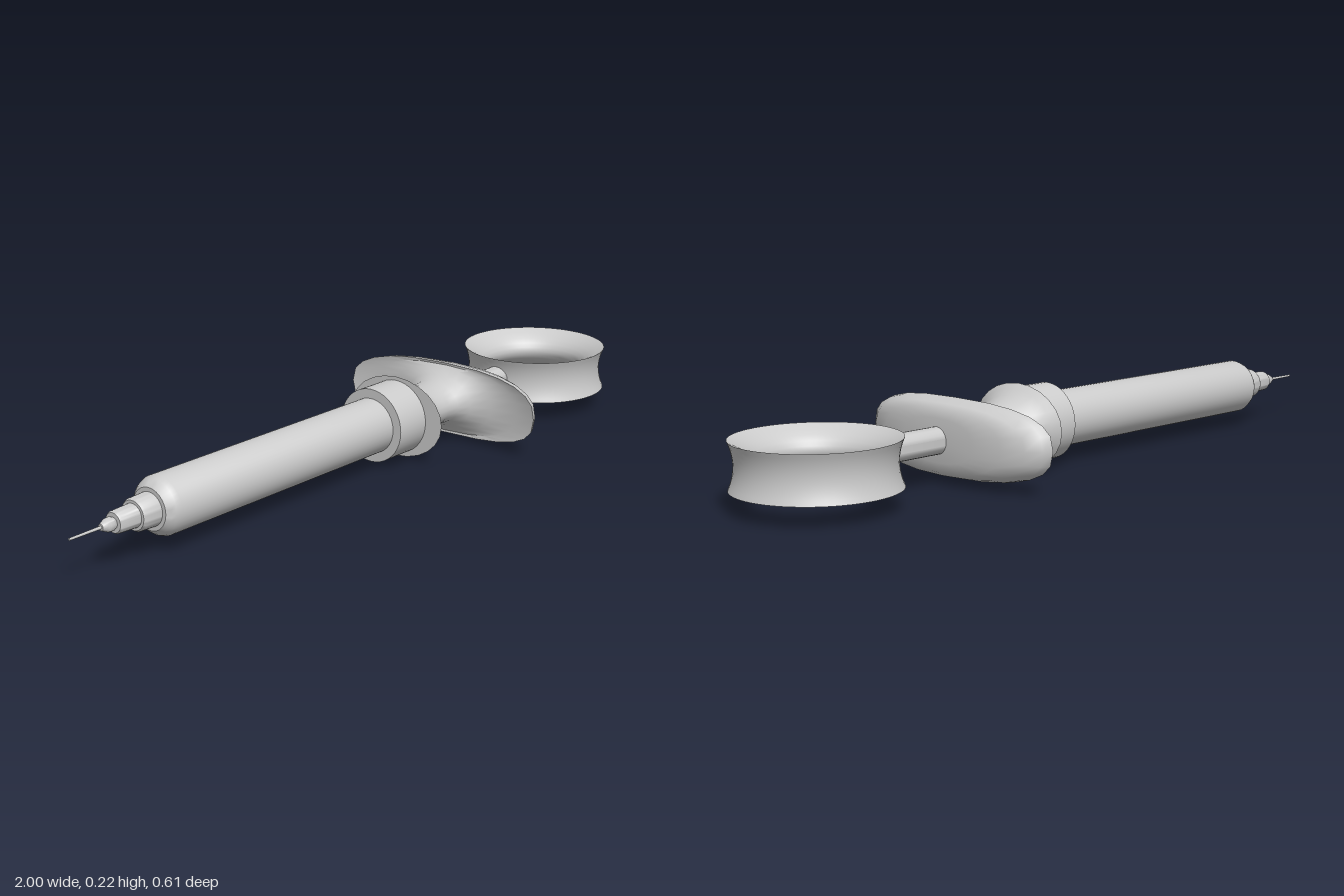
import * as THREE from 'three';
import { toCreasedNormals } from 'three/addons/utils/BufferGeometryUtils.js';

const AXIS_Y = 0.108;
const material = new THREE.MeshStandardMaterial({ color: 0xcccccc });

function addPart(group, name, geometry, crease = 0.6) {
  const mesh = new THREE.Mesh(toCreasedNormals(geometry, crease), material);
  mesh.name = name;
  group.add(mesh);
  return mesh;
}

// Revolve [x, radius] pairs around the long axis
function turned(profile, segments = 40) {
  const points = profile.map(([x, r]) => new THREE.Vector2(r, x));
  return new THREE.LatheGeometry(points, segments).rotateZ(-Math.PI / 2);
}

// Loft of superelliptic sections [x, halfHeight, halfWidth, power, sweep]
function loft(sections, sides = 24) {
  const positions = [], index = [];
  const power = (v, n) => Math.sign(v) * Math.abs(v) ** (2 / n);
  sections.forEach(([x, ry, rz, n, sweep], i) => {
    for (let j = 0; j < sides; j++) {
      const t = (j / sides) * Math.PI * 2;
      const c = power(Math.cos(t), n), s = power(Math.sin(t), n);
      positions.push(x - sweep * s * s, ry * c, rz * s);
      if (i === 0) continue;
      const k = (j + 1) % sides, a = (i - 1) * sides, b = i * sides;
      index.push(a + j, a + k, b + j, a + k, b + k, b + j);
    }
  });
  const geometry = new THREE.BufferGeometry();
  geometry.setAttribute('position', new THREE.Float32BufferAttribute(positions, 3));
  geometry.setIndex(index);
  return geometry;
}

export function createModel() {
  const model = new THREE.Group();
  model.name = 'syringe';
  const body = new THREE.Group();
  body.name = 'body';
  body.position.y = AXIS_Y;
  model.add(body);

  // Needle and stepped hub
  addPart(body, 'needle', turned([[-1, 0], [-1, 0.003], [-0.89, 0.004]], 12));
  addPart(body, 'needleHub', turned([
    [-0.907, 0], [-0.907, 0.008], [-0.89, 0.016], [-0.878, 0.017], [-0.87, 0.014],
    [-0.87, 0.024], [-0.865, 0.027], [-0.81, 0.029], [-0.81, 0.036], [-0.803, 0.04], [-0.75, 0.042],
  ]));

  // Barrel with a rounded shoulder
  addPart(body, 'barrel', turned([
    [-0.757, 0], [-0.757, 0.052], [-0.748, 0.061], [-0.738, 0.068], [-0.725, 0.073], [0.06, 0.073],
  ]));

  // Threaded-on collar
  addPart(body, 'collar', turned([[0.045, 0], [0.045, 0.098], [0.152, 0.098], [0.152, 0]]));

  // Flange, waist and swept finger wings in one flowing body
  addPart(body, 'fingerGrip', loft([
    [0.15, 0.001, 0.001, 2, 0],
    [0.15, 0.108, 0.15, 2, 0],
    [0.165, 0.095, 0.13, 2, 0],
    [0.185, 0.08, 0.105, 2, 0],
    [0.21, 0.065, 0.088, 2, 0],
    [0.24, 0.056, 0.08, 2, 0],
    [0.28, 0.054, 0.078, 2, 0],
    [0.315, 0.058, 0.082, 2, 0],
    [0.34, 0.07, 0.105, 2.1, 0],
    [0.36, 0.084, 0.16, 2.3, 0],
    [0.368, 0.092, 0.24, 2.5, 0.006],
    [0.367, 0.098, 0.304, 2.7, 0.022],
    [0.385, 0.096, 0.294, 2.7, 0.017],
    [0.412, 0.089, 0.26, 2.6, 0.016],
    [0.425, 0.079, 0.2, 2.5, 0.008],
    [0.43, 0.055, 0.12, 2.3, 0.001],
    [0.432, 0.001, 0.001, 2, 0],
  ]), 0.85);

  // Plunger rod
  addPart(body, 'plungerRod', turned([[0.42, 0.034], [0.625, 0.034]], 24));

  // Thumb ring: concave outside, convex inside, sharp rims
  const profile = [], steps = 10, half = 0.058;
  const wall = (waist, u) => waist + (0.2 - waist) * u * u;
  for (let i = 0; i <= steps; i++) {
    const u = (i / steps) * 2 - 1;
    profile.push(new THREE.Vector2(wall(0.187, u), u * half));
  }
  for (let i = 1; i <= steps; i++) {
    const u = 1 - (i / steps) * 2;
    profile.push(new THREE.Vector2(wall(0.137, u), u * half));
  }
  const ring = addPart(body, 'thumbRing', new THREE.LatheGeometry(profile, 64));
  ring.position.x = 0.8;

  return model;
}
